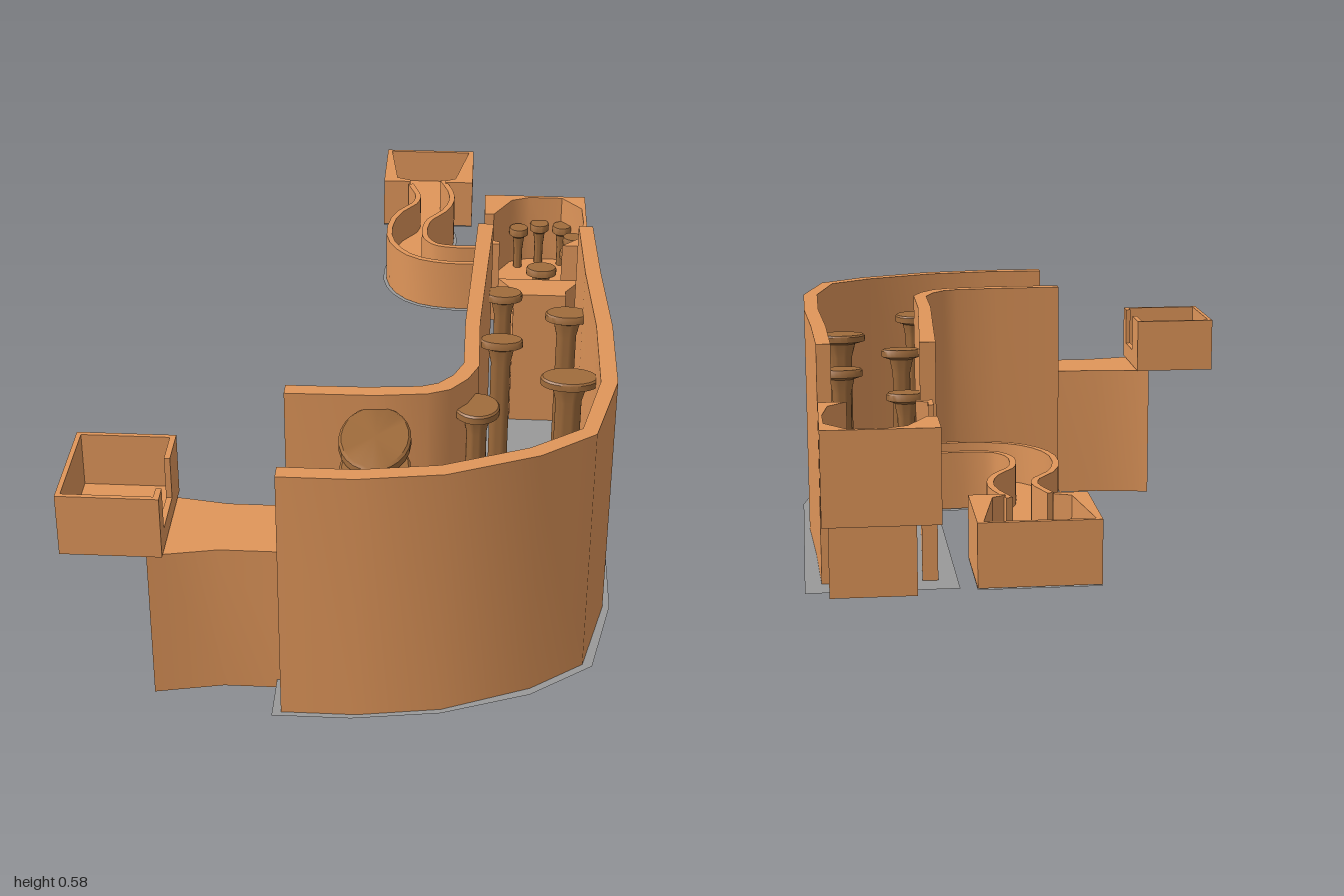
import * as THREE from 'three';
import { toCreasedNormals } from 'three/addons/utils/BufferGeometryUtils.js';

const orange = new THREE.MeshStandardMaterial({ color: 0xe0965a, side: THREE.DoubleSide });
const brown = new THREE.MeshStandardMaterial({ color: 0xa06c3c });
const grey = new THREE.MeshStandardMaterial({ color: 0x999999, side: THREE.DoubleSide });

// Plan outlines are lists of [x, z]
const planShape = pts => new THREE.Shape(pts.map(([x, z]) => new THREE.Vector2(x, -z)));

function named(geo, mat, name) {
  const mesh = new THREE.Mesh(geo, mat);
  mesh.name = name;
  return mesh;
}

// Upright prism standing on a plan outline, from y0 to y1
function prism(name, pts, y0, y1) {
  let geo = new THREE.ExtrudeGeometry(planShape(pts), { depth: y1 - y0, bevelEnabled: false });
  geo.rotateX(-Math.PI / 2).translate(0, y0, 0);
  geo = toCreasedNormals(geo, 0.75);
  return named(geo, orange, name);
}

// Flat grey sheet at height y
function sheet(name, pts, y) {
  const geo = new THREE.ShapeGeometry(planShape(pts)).rotateX(-Math.PI / 2).translate(0, y, 0);
  return named(geo, grey, name);
}

const rect = (x0, z0, x1, z1) => [[x0, z0], [x1, z0], [x1, z1], [x0, z1]];

// Offset a path sideways by d
function offset(path, d) {
  return path.map((p, i) => {
    const a = path[Math.max(i - 1, 0)], b = path[Math.min(i + 1, path.length - 1)];
    const dx = b[0] - a[0], dz = b[1] - a[1], l = Math.hypot(dx, dz);
    return [p[0] - dz / l * d, p[1] + dx / l * d];
  });
}
const band = (path, d0, d1) => [...offset(path, d0), ...offset(path, d1).reverse()];

// Stepping stone: oval cap on a tapering stem
function steppingStone(x, z, rx, rz, top, bottom) {
  const h = top - bottom;
  const profile = [[0, 0], [0.45, 0], [0.45, h - 0.06], [0.6, h - 0.025], [1, h - 0.018], [1, h - 0.004], [0.93, h], [0, h]];
  const geo = new THREE.LatheGeometry(profile.map(p => new THREE.Vector2(...p)), 24);
  geo.scale(rx, 1, rz);
  const stone = named(toCreasedNormals(geo, 0.6), brown, 'steppingStone');
  stone.position.set(x, bottom, z);
  return stone;
}

export function createModel() {
  const model = new THREE.Group();
  model.name = 'curvedChannel';

  // Channel floor
  model.add(sheet('channelFloor', [
    [0.2, -0.21], [0.555, -0.21], [0.555, 0.59], [0.51, 0.8], [0.38, 0.9], [0.2, 0.97], [0.02, 0.997], [-0.14, 0.997],
    [-0.14, 0.64], [0, 0.635], [0.14, 0.615], [0.185, 0.56], [0.205, 0.49]], 0.02));

  // Channel walls
  model.add(prism('outerWall', [
    [0.516, -0.14], [0.525, 0.1], [0.54, 0.35], [0.54, 0.59], [0.49, 0.795], [0.38, 0.88], [0.2, 0.958], [0.03, 0.985], [-0.122, 0.985],
    [-0.122, 0.95], [0.03, 0.95], [0.19, 0.925], [0.36, 0.852], [0.463, 0.775], [0.505, 0.59], [0.505, 0.35], [0.49, 0.1], [0.483, -0.14]], 0.02, 0.583));
  model.add(prism('innerWall', [
    [0.246, -0.14], [0.236, 0.1], [0.225, 0.35], [0.225, 0.53], [0.205, 0.58], [0.175, 0.615], [0.14, 0.63], [0.03, 0.64], [-0.135, 0.642],
    [-0.135, 0.675], [0.05, 0.673], [0.155, 0.66], [0.2, 0.64], [0.235, 0.595], [0.257, 0.54], [0.257, 0.35], [0.27, 0.1], [0.283, -0.14]], 0.02, 0.583));

  // Stones descending along the channel
  [[0.31, -0.05, 0.045, 0.03, 0.45], [0.455, 0.1, 0.05, 0.03, 0.48], [0.305, 0.26, 0.048, 0.026, 0.495],
    [0.45, 0.435, 0.062, 0.038, 0.505], [0.255, 0.6, 0.047, 0.05, 0.525],
    [0.055, 0.775, 0.072, 0.12, 0.55], [0.06, 0.855, 0.07, 0.105, 0.53]]
    .forEach(([x, z, rx, rz, top]) => model.add(steppingStone(x, z, rx, rz, top, 0.015)));

  // End block and its open tray
  model.add(prism('endBlock', [[-0.39, 0.69], [-0.357, 0.7], [-0.25, 0.717], [-0.056, 0.717],
    [-0.056, 0.883], [-0.25, 0.883], [-0.357, 0.905], [-0.39, 0.912]], 0, 0.34));
  const tray = new THREE.Group();
  tray.name = 'endTray';
  tray.add(prism('trayBase', rect(-0.562, 0.68, -0.357, 0.92), 0.343, 0.36));
  tray.add(prism('trayWalls', [[-0.357, 0.77], [-0.357, 0.68], [-0.562, 0.68], [-0.562, 0.92], [-0.357, 0.92], [-0.357, 0.88],
    [-0.369, 0.88], [-0.369, 0.91], [-0.552, 0.91], [-0.552, 0.69], [-0.369, 0.69], [-0.369, 0.77]], 0.36, 0.479));
  tray.add(prism('traySill', rect(-0.369, 0.77, -0.357, 0.88), 0.36, 0.385));
  model.add(tray);

  // Spout column, leaning out towards its top
  const spout = prism('spoutColumn', [[0.3, -0.255], [0.5, -0.255], [0.463, -0.207], [0.463, -0.185],
    [0.337, -0.185], [0.337, -0.207]], 0.02, 0.38);
  const pos = spout.geometry.attributes.position;
  for (let i = 0; i < pos.count; i++) {
    if (pos.getY(i) > 0.2 && pos.getZ(i) > -0.24) pos.setZ(i, pos.getZ(i) + 0.013);
  }
  spout.geometry.computeVertexNormals();
  model.add(spout);

  // Middle basin: curved inside, open to the spout and to the trough
  const basin = new THREE.Group();
  basin.name = 'middleBasin';
  basin.add(prism('basinBase', rect(0.262, -0.54, 0.516, -0.256), 0.264, 0.3));
  basin.add(prism('basinWall', [[0.262, -0.425], [0.262, -0.54], [0.516, -0.54], [0.516, -0.256], [0.452, -0.256],
    [0.495, -0.3], [0.508, -0.39], [0.506, -0.47], [0.458, -0.53], [0.375, -0.53], [0.33, -0.51], [0.285, -0.425]], 0.3, 0.474));
  basin.add(prism('basinCorner', [[0.262, -0.31], [0.262, -0.256], [0.3, -0.256], [0.3, -0.268], [0.274, -0.28], [0.274, -0.31]], 0.3, 0.474));
  [[0.35, -0.487], [0.403, -0.515], [0.46, -0.505], [0.485, -0.44], [0.475, -0.36]]
    .forEach(([x, z]) => basin.add(steppingStone(x, z, 0.024, 0.024, 0.41, 0.29)));
  basin.add(steppingStone(0.405, -0.285, 0.037, 0.028, 0.4, 0.29));
  model.add(basin);

  // Winding trough
  const knots = [[0.268, -0.365], [0.18, -0.362], [0.11, -0.385], [0.068, -0.455], [0.075, -0.57], [0.12, -0.645], [0.13, -0.71], [0.105, -0.795]];
  const path = new THREE.CatmullRomCurve3(knots.map(([x, z]) => new THREE.Vector3(x, 0, z))).getPoints(20).map(p => [p.x, p.z]);
  const trough = new THREE.Group();
  trough.name = 'windingTrough';
  trough.add(prism('troughBed', band(path, -0.05, 0.05), 0.265, 0.305));
  for (const s of [-1, 1]) trough.add(prism('troughSide', band(path, s * 0.038, s * 0.052), 0.265, 0.39));
  trough.add(sheet('troughUnderside', band(path, -0.06, 0.06), 0.263));
  model.add(trough);

  // Source basin: funnel-shaped inside, open to the trough
  const source = new THREE.Group();
  source.name = 'sourceBasin';
  source.add(prism('sourceBase', rect(-0.01, -1, 0.228, -0.79), 0.265, 0.305));
  source.add(prism('sourceWall', [[0.06, -0.79], [-0.01, -0.79], [-0.01, -1], [0.228, -1], [0.228, -0.79], [0.155, -0.79],
    [0.155, -0.8], [0.182, -0.815], [0.215, -0.99], [0.002, -0.99], [0.025, -0.815], [0.06, -0.8]], 0.305, 0.393));
  source.add(sheet('sourceUnderside', rect(-0.01, -1, 0.228, -0.79), 0.262));
  model.add(source);

  return model;
}
